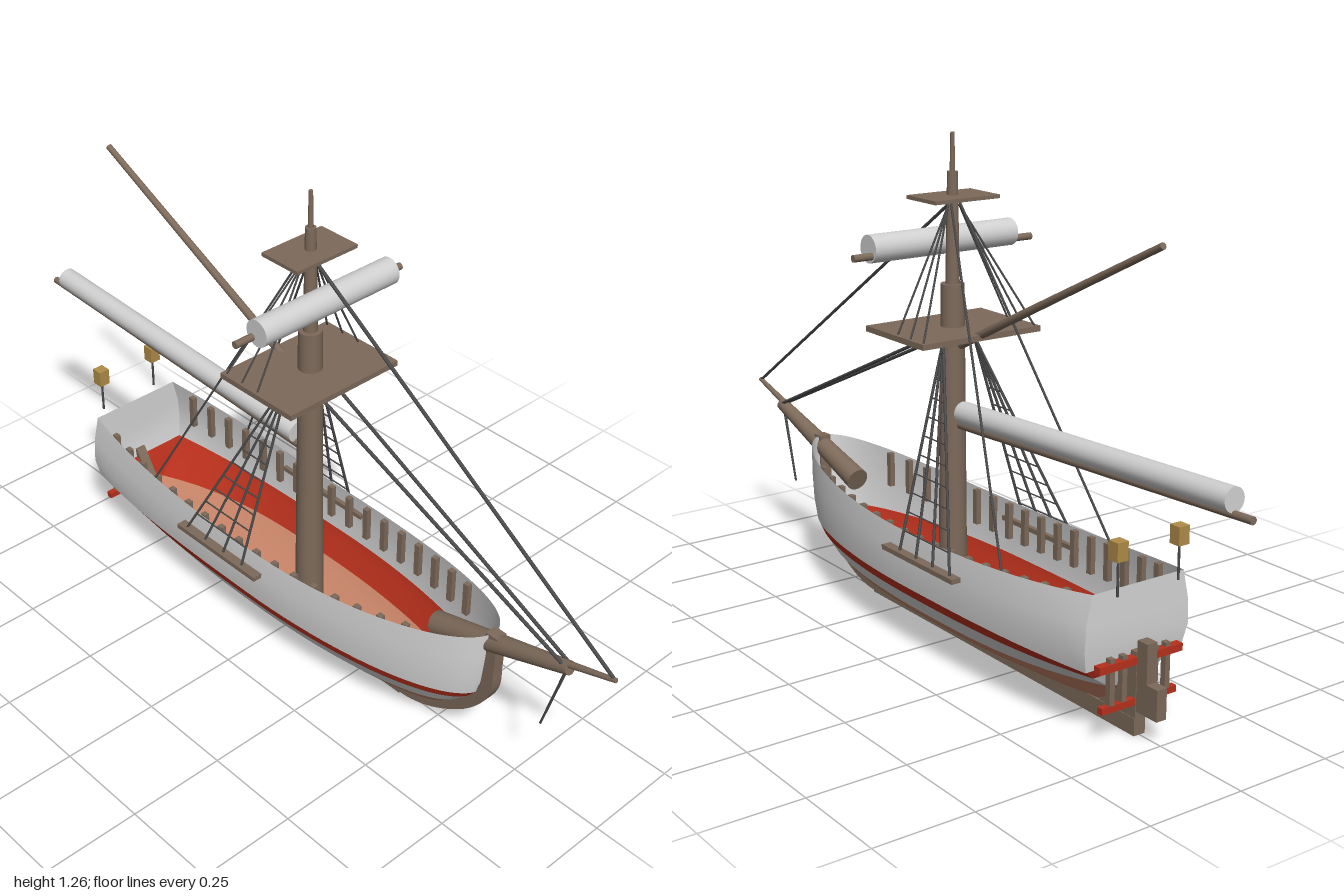
import * as THREE from 'three';

const mat = (name, color, side = THREE.FrontSide) => {
  const m = new THREE.MeshStandardMaterial({ color, side });
  m.name = name;
  return m;
};

export function createModel() {
  const ship = new THREE.Group();
  ship.name = 'sailingShip';
  const white = mat('paintedWhite', 0xd6d6d6, THREE.DoubleSide);
  const red = mat('paintedRed', 0xb8301c, THREE.DoubleSide);
  const copper = mat('copperBottom', 0xc78468, THREE.DoubleSide);
  const sail = mat('sailCloth', 0xd0d0d0);
  const wood = mat('wood', 0x7d6a5a);
  const rope = mat('rope', 0x4c4c4c);
  const gold = mat('lanternGold', 0xb08c48);

  const add = (name, geo, material, parent = ship) => {
    const m = new THREE.Mesh(geo, material);
    m.name = name;
    parent.add(m);
    return m;
  };
  const group = (name) => {
    const g = new THREE.Group();
    g.name = name;
    ship.add(g);
    return g;
  };
  const box = (name, x0, x1, y0, y1, z0, z1, material, parent) => {
    const m = add(name, new THREE.BoxGeometry(Math.abs(x1 - x0), y1 - y0, Math.abs(z1 - z0)), material, parent);
    m.position.set((x0 + x1) / 2, (y0 + y1) / 2, (z0 + z1) / 2);
    return m;
  };
  // Tapered rod from point a to point b
  const rod = (name, a, b, ra, rb, material, parent, sides = 16) => {
    const A = new THREE.Vector3(...a), B = new THREE.Vector3(...b);
    const d = B.clone().sub(A);
    const m = add(name, new THREE.CylinderGeometry(rb, ra, d.length(), sides), material, parent);
    m.position.copy(A).add(B).multiplyScalar(0.5);
    m.quaternion.setFromUnitVectors(new THREE.Vector3(0, 1, 0), d.normalize());
    return m;
  };

  // Hull waterlines: height, bow z, stern z, half beam, stern width factor
  const sheer = (z) => 0.318 + (z > 0 ? 0.052 : 0.038) * (z / 0.66) ** 2;
  const lines = [
    [0.036, 0.40, -0.56, 0.012, 0.3], [0.045, 0.46, -0.575, 0.055, 0.1],
    [0.075, 0.53, -0.60, 0.108, 0.15], [0.105, 0.565, -0.625, 0.137, 0.3],
    [0.15, 0.61, -0.645, 0.165, 0.65], [0.175, 0.63, -0.657, 0.174, 0.8],
    [0.215, 0.643, -0.665, 0.178, 0.84], [0.265, 0.65, -0.665, 0.178, 0.82],
    [0.318, 0.655, -0.665, 0.172, 0.76],
  ];
  const plan = (u, sf) => {
    const t = Math.abs(u - 0.5) * 2;
    return u > 0.5 ? Math.sqrt(Math.max(0, 1 - t * t)) : 1 - (1 - sf) * t ** 3;
  };
  const N = 72;
  const waterline = ([y, zb, zs, beam, sf], inset) => {
    const pts = [];
    for (let i = 0; i <= N; i++) {
      const a = (i / N) * 2 - 1;
      const u = Math.sin((1 - Math.abs(a)) * Math.PI / 2);
      const z = zs + (zb - zs) * u;
      const yy = y <= 0.175 ? y : 0.175 + (sheer(z) - 0.175) * (y - 0.175) / 0.143;
      pts.push([Math.sign(a) * beam * plan(u, sf) * inset, yy, z * inset]);
    }
    return pts;
  };
  const strip = (rows) => {
    const pos = rows.flat(2), idx = [], w = rows[0].length;
    for (let r = 0; r < rows.length - 1; r++)
      for (let i = 0; i < w - 1; i++) {
        const a = r * w + i, b = a + w;
        idx.push(a, b, a + 1, a + 1, b, b + 1);
      }
    const g = new THREE.BufferGeometry();
    g.setAttribute('position', new THREE.Float32BufferAttribute(pos, 3));
    g.setIndex(idx);
    g.computeVertexNormals();
    return g;
  };
  const band = (name, from, to, material, inset = 1) => {
    const rows = lines.slice(from, to + 1).map((l) => waterline(l, inset));
    add(name, strip(rows), material);
    add(name + 'Stern', strip(rows.map((r) => [r[N], r[0]])), material);
  };
  band('hullBottom', 0, 3, copper);
  band('bootTop', 3, 4, white);
  band('hullStripe', 4, 5, red);
  band('hullTopsides', 5, 8, white);
  band('innerLining', 3, 5, red, 0.985);

  // Keel and curved stem
  box('keel', -0.016, 0.016, 0, 0.042, -0.68, 0.38, wood);
  const stemCurve = new THREE.CatmullRomCurve3([
    [0.66, 0.37], [0.657, 0.27], [0.652, 0.2], [0.6, 0.125], [0.5, 0.055], [0.42, 0.026], [0.34, 0.02],
  ].map(([z, y]) => new THREE.Vector3(0, y, z)));
  const outer = [], inner = [];
  for (let i = 0; i <= 30; i++) {
    const p = stemCurve.getPoint(i / 30), t = stemCurve.getTangent(i / 30);
    outer.push(new THREE.Vector2(p.z - t.y * 0.017, p.y + t.z * 0.017));
    inner.unshift(new THREE.Vector2(p.z + t.y * 0.017, p.y - t.z * 0.017));
  }
  const slab = (name, pts, half) => {
    const g = new THREE.ExtrudeGeometry(new THREE.Shape(pts), { depth: half * 2, bevelEnabled: false });
    g.translate(0, 0, -half).rotateY(-Math.PI / 2);
    return add(name, g, wood);
  };
  slab('stem', [...outer, ...inner], 0.016);

  // Sternpost and stepped rudder
  const v2 = (list) => list.map(([z, y]) => new THREE.Vector2(z, y));
  slab('sternpost', v2([[-0.55, 0.03], [-0.68, 0.03], [-0.68, 0.2], [-0.655, 0.2]]), 0.014);
  slab('rudder', v2([[-0.682, 0.06], [-0.75, 0.06], [-0.75, 0.135], [-0.715, 0.135], [-0.715, 0.23], [-0.682, 0.23]]), 0.014);

  // Stern gallery rails and posts
  const gallery = group('sternGallery');
  box('upperRail', -0.12, 0.12, 0.172, 0.19, -0.662, -0.682, red, gallery);
  box('lowerRail', -0.108, 0.108, 0.074, 0.09, -0.662, -0.678, red, gallery);
  for (const x of [-0.08, -0.045, 0.045, 0.08])
    box('galleryPost', x - 0.007, x + 0.007, 0.08, 0.2, -0.663, -0.678, wood, gallery);

  // Bulwark stanchions
  const posts = group('stanchions');
  for (const s of [-1, 1])
    for (let z = -0.58; z < 0.5; z += 0.066) {
      const x = s * (0.172 * plan((z + 0.665) / 1.32, 0.76) - 0.012), y = sheer(z);
      box('stanchion', x - 0.007, x + 0.007, y - 0.095, y - 0.002, z - 0.008, z + 0.008, wood, posts);
    }

  // Mast and platforms
  const mz = 0.035;
  rod('lowerMast', [0, 0.04, mz], [0, 0.9, mz], 0.037, 0.029, wood, ship, 24);
  rod('topmast', [0, 0.88, mz], [0, 1.17, mz], 0.018, 0.013, wood);
  rod('mastPole', [0, 1.16, mz], [0, 1.262, mz], 0.007, 0.005, wood);
  box('fightingTop', -0.172, 0.172, 0.782, 0.796, -0.09, 0.155, wood);
  box('crosstrees', -0.093, 0.093, 1.105, 1.114, -0.028, 0.092, wood);

  // Yard, gaff and boom with furled sails
  rod('yard', [-0.26, 0.983, 0.068], [0.26, 0.983, 0.068], 0.009, 0.009, wood);
  rod('furledTopsail', [-0.208, 0.998, 0.083], [0.208, 0.998, 0.083], 0.034, 0.034, sail, ship, 24);
  rod('gaff', [0, 0.755, 0], [0, 1.103, -0.71], 0.011, 0.008, wood);
  rod('boom', [0, 0.555, 0], [0, 0.593, -1], 0.012, 0.009, wood);
  rod('furledMainsail', [0, 0.587, -0.01], [0, 0.622, -0.945], 0.028, 0.028, sail, ship, 24);

  // Bowsprit, jib boom and martingale
  rod('bowsprit', [0, 0.285, 0.48], [0, 0.408, 0.875], 0.031, 0.017, wood, ship, 20);
  rod('jibBoom', [0, 0.395, 0.8], [0, 0.455, 0.998], 0.01, 0.006, wood);
  rod('martingale', [0, 0.41, 0.87], [0, 0.195, 0.81], 0.004, 0.003, rope, ship, 6);

  // Rigging
  const rigging = group('rigging');
  const line = (name, a, b, r = 0.003) => rod(name, a, b, r, r, rope, rigging, 6);
  line('topmastStay', [0, 0.455, 0.993], [0, 1.1, mz], 0.0045);
  for (const s of [-1, 1]) {
    line('foreStay', [s * 0.008, 0.41, 0.87], [s * 0.03, 0.78, 0.045], 0.0045);
    line('backstay', [s * 0.165, 0.3, -0.395], [s * 0.012, 1.1, 0.025]);
    box('channel', s * 0.165, s * 0.202, 0.261, 0.273, -0.245, 0.05, wood, rigging);

    // Lower shrouds converge below the fighting top, crossed by ratlines
    const feet = [-0.01, -0.08, -0.15, -0.22];
    const at = (z, y) => {
      const k = (y - 0.27) / 0.5;
      return [s * (0.19 - 0.145 * k), y, z + (0.01 - z) * k];
    };
    for (const z of feet) line('shroud', at(z, 0.27), at(z, 0.77), 0.0035);
    for (let y = 0.32; y < 0.73; y += 0.045)
      line('ratline', at(feet[0], y), at(feet[3], y), 0.002);

    // Topmast shrouds
    for (const [x, z] of [[0.165, 0.03], [0.165, -0.025], [0.165, -0.08]])
      line('topmastShroud', [s * x, 0.79, z], [s * 0.016, 1.09, 0.03], 0.0025);
  }

  // Stern lanterns
  for (const s of [-1, 1]) {
    const x = s * 0.087, g = group('sternLantern');
    rod('lanternPole', [x, 0.352, -0.695], [x, 0.44, -0.695], 0.003, 0.003, rope, g, 6);
    box('lanternBody', x - 0.015, x + 0.015, 0.436, 0.48, -0.71, -0.68, gold, g);
  }
  return ship;
}
